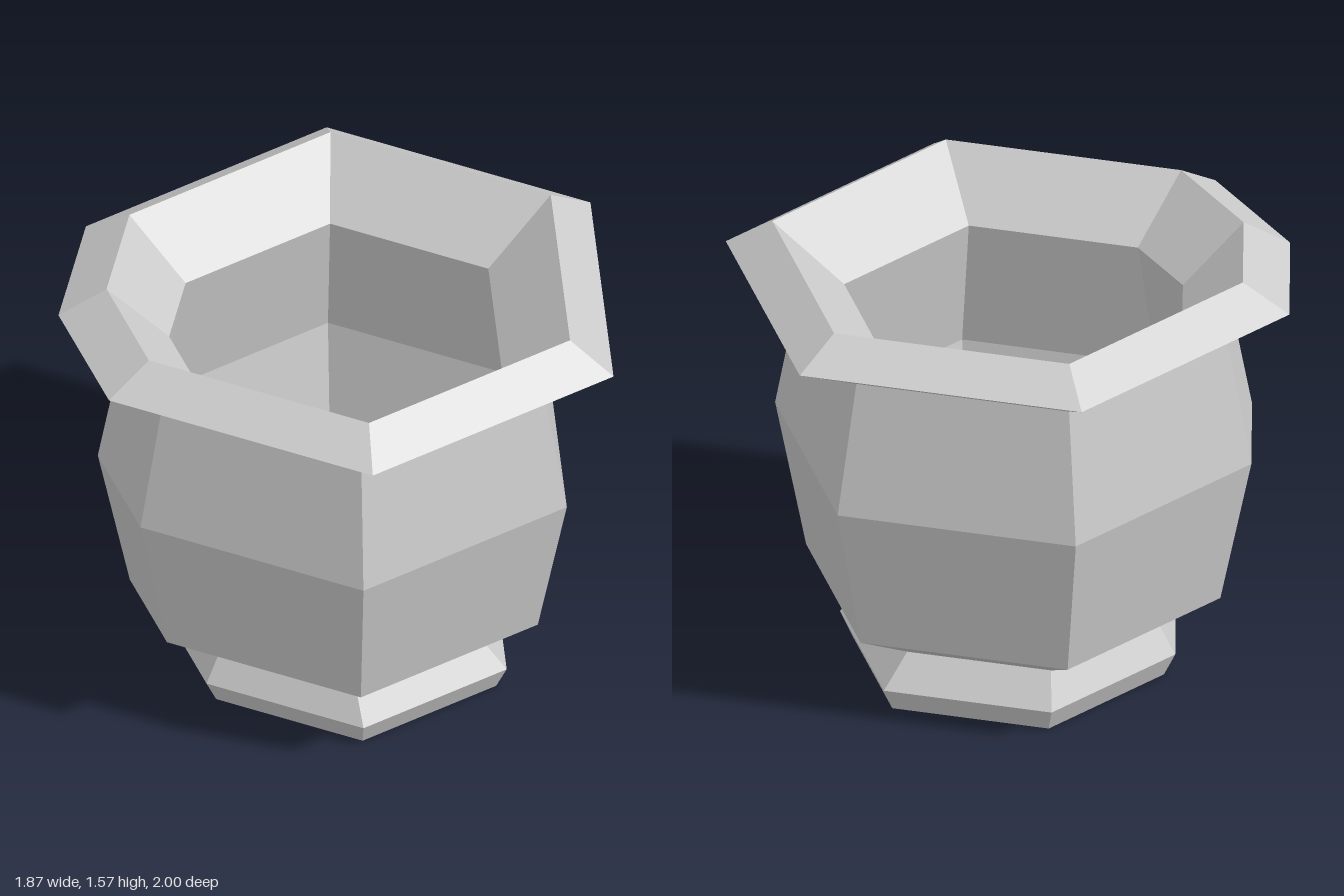
import * as THREE from 'three';

// Corner angles: a hexagon with one extra corner on the -x side
const ANGLES = [30, 90, 150, 180, 210, 270, 330].map(THREE.MathUtils.degToRad);

// Profile rings: [radius, height, centre x]
const BOTTOM = [0.555, 0, 0.063];
const WAIST = [0.51, 0.2, 0.043];
const NECK = [0.755, 1.335, 0.043];
const LIP = [0.835, 1.565, 0.063];
const THROAT = [0.6, 1.35, 0.043];

const PARTS = {
  foot: [[0, 0, 0.063], BOTTOM, [0.595, 0.083, 0.063], WAIST],
  body: [WAIST, [0.735, 0.32, 0.043], [0.845, 0.857, 0.043], NECK],
  rim: [NECK, [1, 1.463, 0.063], LIP, THROAT],
  interior: [THROAT, [0.69, 0.86, 0.043], [0.6, 0.37, 0.043], [0.365, 0.27, 0.043], [0, 0.27, 0.043]],
};

// Joins successive rings with flat faces
function loft(rings) {
  const positions = [];
  const corner = ([r, y, cx], i) => {
    const a = ANGLES[i % ANGLES.length];
    return [cx + r * Math.cos(a), y, -r * Math.sin(a)];
  };
  for (let j = 0; j < rings.length - 1; j++) {
    const low = rings[j], high = rings[j + 1];
    for (let i = 0; i < ANGLES.length; i++) {
      const a = corner(low, i), b = corner(low, i + 1);
      const c = corner(high, i + 1), d = corner(high, i);
      if (low[0] > 0) positions.push(...a, ...b, ...c);
      if (high[0] > 0) positions.push(...a, ...c, ...d);
    }
  }
  const geometry = new THREE.BufferGeometry();
  geometry.setAttribute('position', new THREE.Float32BufferAttribute(positions, 3));
  geometry.computeVertexNormals();
  return geometry;
}

export function createModel() {
  const group = new THREE.Group();
  group.name = 'pot';
  const material = new THREE.MeshStandardMaterial({ color: 0xcccccc, flatShading: true });
  for (const [name, rings] of Object.entries(PARTS)) {
    const mesh = new THREE.Mesh(loft(rings), material);
    mesh.name = name;
    group.add(mesh);
  }
  return group;
}
